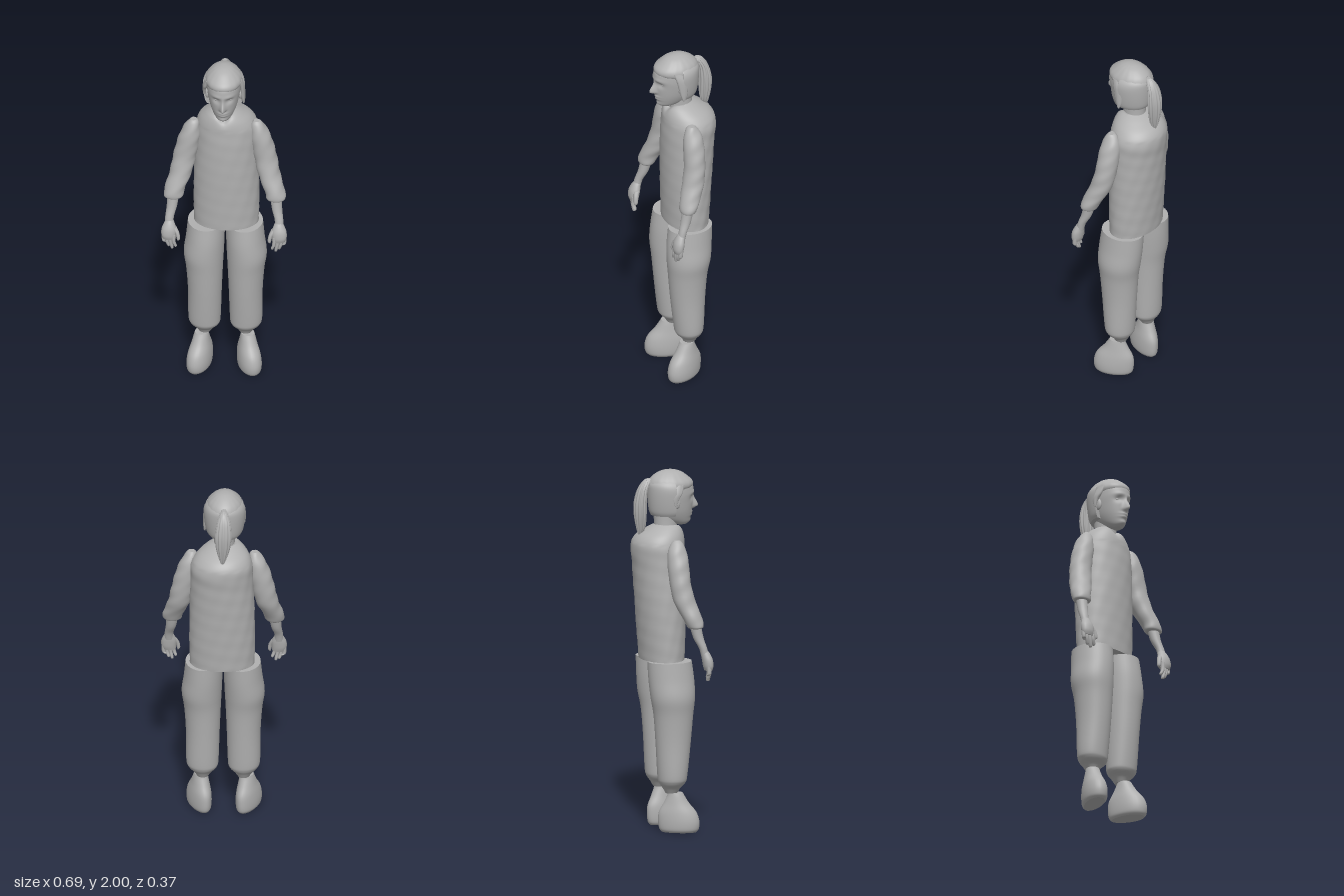
import * as THREE from 'three';

const grey = new THREE.MeshStandardMaterial({ color: 0xb0b0b0 });
grey.name = 'plain grey';

const bump = (d, width) => Math.exp(-(d * d) / (width * width));

// Smooth curve through four neighbouring values
function spline(a, b, c, d, t) {
  return b + 0.5 * t * (c - a + t * (2 * a - 5 * b + 4 * c - d + t * (3 * (b - c) + d - a)));
}

// Closed loft through oval sections [y, centreX, halfWidth, zFront, zBack], lowest first.
// shape(point, angle) may move each vertex.
function loft(name, sections, { sides = 32, steps = 5, shape = null } = {}) {
  const rings = [];
  const last = sections.length - 1;
  for (let i = 0; i < last; i++) {
    for (let s = 0; s < steps; s++) {
      const t = s / steps;
      rings.push(sections[i].map((v, k) => spline(
        sections[Math.max(i - 1, 0)][k], v, sections[i + 1][k], sections[Math.min(i + 2, last)][k], t)));
    }
  }
  rings.push(sections[last]);

  const pos = [], index = [], p = new THREE.Vector3();
  for (const [y, cx, rx, zf, zb] of rings) {
    for (let j = 0; j < sides; j++) {
      const a = (j / sides) * Math.PI * 2;
      p.set(cx + rx * Math.cos(a), y, (zf + zb) / 2 + ((zf - zb) / 2) * Math.sin(a));
      if (shape) shape(p, a);
      pos.push(p.x, p.y, p.z);
    }
  }
  for (let i = 0; i < rings.length - 1; i++) {
    for (let j = 0; j < sides; j++) {
      const a = i * sides + j, b = i * sides + (j + 1) % sides;
      index.push(a, a + sides, b, b, a + sides, b + sides);
    }
  }
  // End caps with their own vertices, so the rims stay crisp
  for (const [ring, top] of [[0, false], [rings.length - 1, true]]) {
    const base = pos.length / 3, c = [0, 0, 0];
    for (let j = 0; j < sides; j++) {
      for (let k = 0; k < 3; k++) {
        const v = pos[(ring * sides + j) * 3 + k];
        pos.push(v);
        c[k] += v / sides;
      }
    }
    pos.push(...c);
    for (let j = 0; j < sides; j++) {
      const n = (j + 1) % sides;
      index.push(base + sides, base + (top ? n : j), base + (top ? j : n));
    }
  }
  const geo = new THREE.BufferGeometry();
  geo.setAttribute('position', new THREE.Float32BufferAttribute(pos, 3));
  geo.setIndex(index);
  geo.computeVertexNormals();
  const mesh = new THREE.Mesh(geo, grey);
  mesh.name = name;
  return mesh;
}

function ellipsoid(name, x, y, z, rx, ry, rz) {
  const mesh = new THREE.Mesh(new THREE.SphereGeometry(1, 20, 14), grey);
  mesh.scale.set(rx, ry, rz);
  mesh.position.set(x, y, z);
  mesh.name = name;
  return mesh;
}

// Flip the x of a section list for the other side
const mirror = (sections, side, middle) => sections.map(([y, x, ...rest]) => [y, middle + side * x, ...rest]);

function makeTorso() {
  return loft('shirt', [
    [0.95, 0.012, 0.178, 0.1, -0.14], [1.1, 0.012, 0.18, 0.105, -0.152],
    [1.3, 0.012, 0.178, 0.11, -0.167], [1.48, 0.014, 0.172, 0.11, -0.18],
    [1.58, 0.014, 0.168, 0.105, -0.188], [1.635, 0.008, 0.145, 0.1, -0.165],
    [1.675, 0, 0.105, 0.09, -0.11], [1.7, -0.005, 0.068, 0.075, -0.062],
  ], { sides: 64, steps: 8, shape(p, a) {
    // Cloth wrinkles, then the dip of the collar
    const w = 1 + 0.009 * Math.sin(p.y * 47 + a * 5) * Math.sin(a * 7 - p.y * 21);
    if (p.y > 0.96 && p.y < 1.6) { p.x *= w; p.z *= w; }
    if (p.y > 1.62 && p.z > 0) p.y -= 0.04 * bump(p.x, 0.035) * ((p.y - 1.62) / 0.08);
  } });
}

function makeLeg(side) {
  const leg = new THREE.Group();
  leg.name = side > 0 ? 'leftLeg' : 'rightLeg';
  leg.add(loft('trouserLeg', mirror([
    [0.215, 0.112, 0.032, 0.033, -0.033], [0.245, 0.112, 0.052, 0.05, -0.05],
    [0.275, 0.112, 0.08, 0.077, -0.07], [0.32, 0.114, 0.089, 0.087, -0.078],
    [0.5, 0.112, 0.093, 0.107, -0.088], [0.65, 0.114, 0.101, 0.12, -0.1],
    [0.75, 0.118, 0.11, 0.129, -0.118], [0.85, 0.11, 0.106, 0.127, -0.128],
    [0.95, 0.104, 0.102, 0.115, -0.133],
  ], side, 0.007), { sides: 40 }));
  // Foot with the toe turned outward
  const foot = loft('shoe', [
    [0, 0, 0.046, 0.115, -0.075], [0.018, 0, 0.057, 0.128, -0.09],
    [0.06, 0, 0.06, 0.131, -0.096], [0.11, 0, 0.056, 0.115, -0.092],
    [0.16, 0, 0.047, 0.075, -0.066], [0.2, 0, 0.04, 0.05, -0.047],
    [0.218, 0, 0.036, 0.04, -0.042],
  ], { shape(p) { p.x *= 1 + p.z * 1.2; } });
  foot.rotation.y = side * 0.38;
  foot.position.set(0.004 + side * 0.126, 0, 0.018);
  leg.add(foot);
  return leg;
}

function makeArm(side) {
  const arm = new THREE.Group();
  arm.name = side > 0 ? 'leftArm' : 'rightArm';
  const add = (name, sections, options) => arm.add(loft(name, mirror(sections, side, 0.007), options));
  add('sleeve', [
    [1.16, 0.281, 0.04, 0.115, 0.045], [1.17, 0.281, 0.053, 0.127, 0.036],
    [1.21, 0.274, 0.056, 0.124, 0.018], [1.3, 0.242, 0.061, 0.096, -0.025],
    [1.4, 0.221, 0.063, 0.074, -0.042], [1.5, 0.2, 0.06, 0.07, -0.048],
    [1.57, 0.185, 0.048, 0.062, -0.042], [1.615, 0.175, 0.031, 0.045, -0.022],
    [1.632, 0.173, 0.018, 0.03, -0.005],
  ], { shape(p, a) { p.x += 0.002 * Math.sin(p.y * 70 + a * 2); } });
  add('forearm', [
    [1.0, 0.302, 0.024, 0.155, 0.112], [1.05, 0.3, 0.024, 0.143, 0.098],
    [1.11, 0.288, 0.029, 0.126, 0.068], [1.2, 0.28, 0.034, 0.11, 0.045],
  ], { sides: 20 });
  add('palm', [
    [0.925, 0.3, 0.036, 0.172, 0.13], [0.95, 0.303, 0.041, 0.178, 0.122],
    [0.985, 0.302, 0.041, 0.174, 0.116], [1.015, 0.301, 0.03, 0.161, 0.112],
    [1.035, 0.3, 0.02, 0.148, 0.105],
  ], { sides: 20 });
  // Four curled fingers and the thumb
  [[0.332, 0.895], [0.314, 0.872], [0.295, 0.86], [0.276, 0.875]].forEach(([x, tip], i) => {
    const z = 0.145 + i * 0.005;
    add('finger', [
      [tip, x - 0.01, 0.003, z + 0.005, z - 0.005], [tip + 0.008, x - 0.01, 0.009, z + 0.01, z - 0.012],
      [0.91, x - 0.001, 0.01, z + 0.015, z - 0.009], [0.955, x, 0.011, z + 0.013, z - 0.013],
    ], { sides: 10, steps: 3 });
  });
  add('thumb', [
    [0.918, 0.252, 0.004, 0.165, 0.153], [0.93, 0.25, 0.01, 0.171, 0.148],
    [0.965, 0.257, 0.012, 0.168, 0.141], [0.995, 0.276, 0.017, 0.16, 0.128],
  ], { sides: 10, steps: 3 });
  return arm;
}

function makeHead() {
  const head = new THREE.Group();
  head.name = 'head';
  head.add(loft('neck', [
    [1.58, 0, 0.075, 0.07, -0.08], [1.68, 0, 0.058, 0.063, -0.065], [1.78, 0, 0.058, 0.07, -0.07],
  ]));
  // Face modelled by pressing eye sockets in and drawing nose, lips and chin out
  head.add(loft('face', [
    [1.693, 0, 0.025, 0.115, 0.06], [1.705, 0, 0.042, 0.131, 0.01],
    [1.73, 0, 0.059, 0.14, -0.04], [1.77, 0, 0.075, 0.147, -0.07],
    [1.82, 0, 0.086, 0.152, -0.088], [1.87, 0, 0.092, 0.157, -0.095],
    [1.92, 0, 0.089, 0.15, -0.09], [1.96, 0, 0.066, 0.11, -0.06], [1.985, 0, 0.03, 0.06, -0.02],
  ], { sides: 96, steps: 8, shape(p) {
    if (p.z < 0.04) return;
    const x = Math.abs(p.x), y = p.y;
    p.z -= 0.013 * bump(x - 0.036, 0.021) * bump(y - 1.845, 0.018);
    p.z += 0.006 * bump(x - 0.036, 0.03) * bump(y - 1.872, 0.012);
    const drop = y > 1.79 ? bump(y - 1.79, 0.045) : bump(y - 1.79, 0.012);
    p.z += 0.037 * bump(x, 0.007 + 0.007 * drop) * drop;
    p.z += 0.008 * bump(x, 0.027) * (bump(y - 1.761, 0.007) + bump(y - 1.745, 0.007));
    p.z += 0.006 * bump(x, 0.025) * bump(y - 1.713, 0.012);
  } }));
  for (const side of [-1, 1]) {
    head.add(ellipsoid('eye', side * 0.036, 1.845, 0.121, 0.016, 0.008, 0.012));
    head.add(ellipsoid('ear', side * 0.091, 1.825, 0.035, 0.011, 0.032, 0.02));
  }

  // Swept hair: crown, the shell behind the ears, loose locks and the tail
  const strands = (n, depth) => (p, a) => { p.x *= 1 + depth * Math.cos(a * n); };
  head.add(loft('crownHair', [
    [1.885, 0, 0.09, 0.13, -0.098], [1.91, 0, 0.1, 0.152, -0.101],
    [1.935, 0, 0.097, 0.15, -0.096], [1.96, 0, 0.081, 0.125, -0.08],
    [1.985, 0, 0.053, 0.09, -0.045], [1.997, 0, 0.025, 0.055, -0.012], [2, 0, 0.006, 0.03, 0.01],
  ], { sides: 64, shape(p, a) {
    if (p.y < 1.9 && p.z > 0) p.y += 0.012 * bump(p.x, 0.04);
    strands(16, 0.01)(p, a);
  } }));
  head.add(loft('backHair', [
    [1.75, 0, 0.092, 0.14, -0.082], [1.775, 0, 0.104, 0.16, -0.093],
    [1.83, 0, 0.112, 0.16, -0.1], [1.89, 0, 0.115, 0.16, -0.103],
    [1.925, 0, 0.106, 0.15, -0.1], [1.95, 0, 0.085, 0.12, -0.08],
  ], { sides: 64, shape(p) { p.z = Math.min(p.z, 0.028); } }));
  for (const side of [-1, 1]) {
    const low = side > 0 ? 1.755 : 1.81;
    head.add(loft('looseLock', mirror([
      [low, 0.109, 0.003, 0.03, 0.02], [low + 0.04, 0.105, 0.011, 0.045, 0.005],
      [1.88, 0.1, 0.014, 0.065, 0], [1.925, 0.088, 0.012, 0.08, 0.02],
    ], side, 0), { sides: 16, shape: strands(6, 0.015) }));
  }
  head.add(loft('ponytail', [
    [1.635, 0.006, 0.004, -0.143, -0.153], [1.68, 0.005, 0.022, -0.118, -0.166],
    [1.75, 0.003, 0.038, -0.112, -0.178], [1.82, 0.002, 0.043, -0.112, -0.179],
    [1.89, 0, 0.036, -0.108, -0.163], [1.935, 0, 0.023, -0.09, -0.138],
    [1.955, 0, 0.01, -0.085, -0.112],
  ], { sides: 72, shape(p, a) {
    const k = 1 + 0.07 * Math.cos(a * 12);
    p.x *= k;
    p.z = -0.143 + (p.z + 0.143) * k;
  } }));
  head.add(ellipsoid('hairTie', 0, 1.93, -0.102, 0.02, 0.02, 0.022));
  return head;
}

export function createModel() {
  const figure = new THREE.Group();
  figure.name = 'figure';
  figure.add(makeTorso(), makeHead());
  for (const side of [-1, 1]) figure.add(makeArm(side), makeLeg(side));
  return figure;
}
